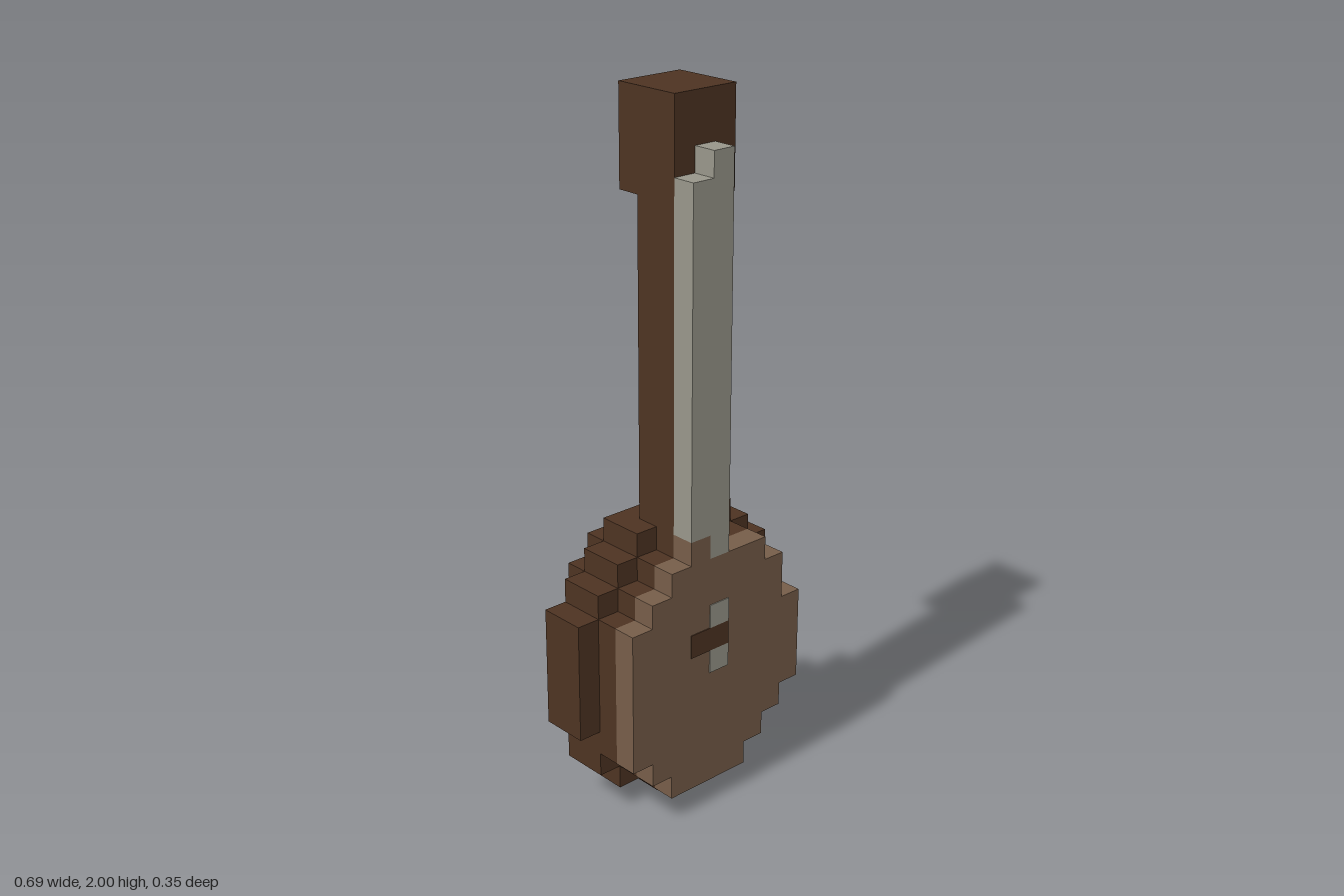
import * as THREE from 'three';

const U = 2 / 29; // one block

export function createModel() {
  const model = new THREE.Group();
  model.name = 'bluntStringInstrument';

  const mat = (name, color) => {
    const m = new THREE.MeshStandardMaterial({ color });
    m.name = name;
    return m;
  };
  const darkWood = mat('darkWood', 0x4d3322);
  const paleWood = mat('paleWood', 0x765d49);
  const silver = mat('silver', 0x98968a);

  const add = (name, geometry, material) => {
    const mesh = new THREE.Mesh(geometry, material);
    mesh.name = name;
    model.add(mesh);
  };

  // Box given by its limits in blocks
  const box = (name, material, [x0, x1], [y0, y1], [z0, z1]) => {
    const g = new THREE.BoxGeometry((x1 - x0) * U, (y1 - y0) * U, (z1 - z0) * U);
    g.translate((x0 + x1) / 2 * U, (y0 + y1) / 2 * U, (z0 + z1) / 2 * U);
    add(name, g, material);
  };

  // Stepped disc: runs of [left, right, number of rows], from the bottom up
  const slab = (name, material, firstRow, runs, z0, z1) => {
    const right = [], left = [];
    let y = firstRow;
    for (const [l, r, n] of runs) {
      for (const row of [y, y + n]) {
        right.push([r, row]);
        left.unshift([l, row]);
      }
      y += n;
    }
    const points = [...right, ...left]
      .filter((p, i, all) => i === 0 || p[0] !== all[i - 1][0] || p[1] !== all[i - 1][1])
      .map(([px, py]) => new THREE.Vector2(px * U, py * U));
    const g = new THREE.ExtrudeGeometry(new THREE.Shape(points), { depth: (z1 - z0) * U, bevelEnabled: false });
    g.translate(0, 0, z0 * U);
    add(name, g, material);
  };

  // Round body, layer by layer from back to front
  slab('bodyBack', darkWood, 2,
    [[-2, 3, 1], [-3, 3, 1], [-4, 4, 3], [-3, 4, 2], [-3, 3, 1], [-2, 2, 1]], -2.5, -1.5);
  slab('bodyRearMiddle', darkWood, 0,
    [[-1, 1, 1], [-3, 3, 1], [-4, 4, 1], [-4, 5, 1], [-5, 5, 5], [-4, 4, 1], [-3, 4, 1], [-2, 3, 1]], -1.5, -0.5);
  slab('bodyFrontMiddle', darkWood, 0,
    [[-1, 1, 1], [-3, 3, 1], [-4, 4, 1], [-4, 5, 1], [-5, 5, 5], [-4, 5, 1], [-3, 4, 1], [-2, 3, 1]], -0.5, 0.5);
  const faceRuns = [[-2, 2, 1], [-3, 3, 1], [-4, 4, 1], [-4, 5, 4], [-4, 4, 1], [-3, 4, 1], [-2, 3, 1]];
  slab('bodyFront', darkWood, 1, faceRuns, 0.5, 1.5);
  slab('soundboard', paleWood, 1, [...faceRuns, [-1, 0, 1]], 1.5, 2.5);

  // Neck and head
  box('neck', darkWood, [-1, 1], [11, 25], [-0.5, 1.5]);
  box('head', darkWood, [-1, 2], [25, 29], [-1.5, 1.5]);

  // Strings in front of the neck
  box('rightString', silver, [-1, 0], [12, 26], [1.5, 2.5]);
  box('leftString', silver, [0, 1], [11, 27], [1.5, 2.5]);

  // Inlays on the soundboard
  box('lowerStringInlay', silver, [0, 1], [6, 7], [2.48, 2.54]);
  box('upperStringInlay', silver, [0, 1], [8, 9], [2.48, 2.54]);
  box('bridge', darkWood, [-1, 1], [7, 8], [2.48, 2.54]);

  return model;
}
